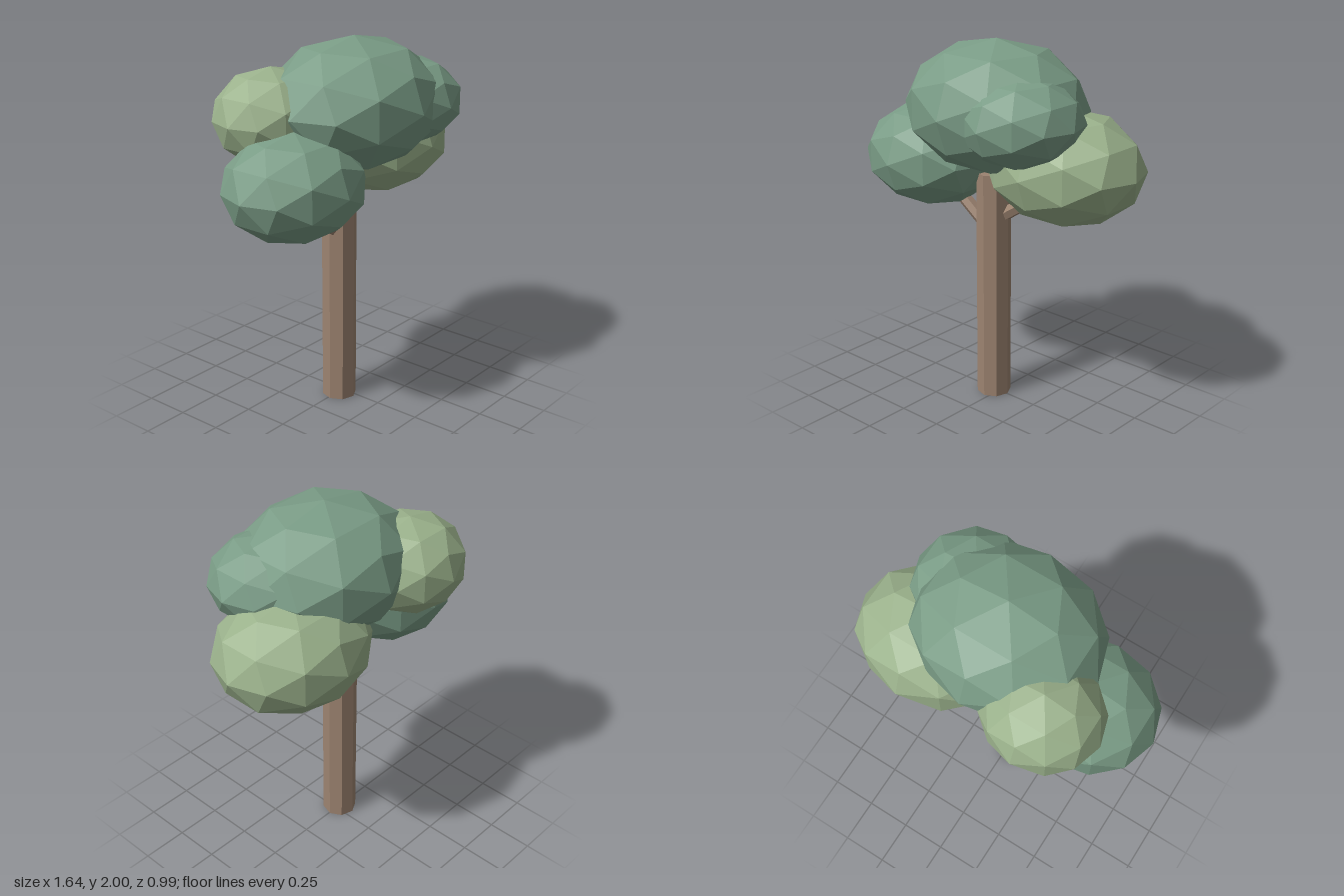
import * as THREE from 'three';

const paint = (color) => new THREE.MeshStandardMaterial({ color, flatShading: true });

export function createModel() {
  const tree = new THREE.Group();
  tree.name = 'tree';
  const bark = paint(0x9c8370);
  const darkLeaf = paint(0x7a9c86);
  const lightLeaf = paint(0x9bb28c);

  // Straight octagonal trunk
  const trunk = new THREE.Mesh(new THREE.CylinderGeometry(0.093, 0.093, 1.28, 8), bark);
  trunk.name = 'trunk';
  trunk.position.set(-0.033, 0.64, 0.005);
  trunk.rotation.y = 0.1;
  tree.add(trunk);

  // Branch running between two points
  function addBranch(name, from, to, radius) {
    const a = new THREE.Vector3(...from);
    const b = new THREE.Vector3(...to);
    const dir = b.clone().sub(a);
    const branch = new THREE.Mesh(new THREE.CylinderGeometry(radius, radius, dir.length(), 6), bark);
    branch.name = name;
    branch.position.copy(a).add(b).multiplyScalar(0.5);
    branch.quaternion.setFromUnitVectors(new THREE.Vector3(0, 1, 0), dir.normalize());
    tree.add(branch);
  }
  addBranch('rightBranch', [-0.05, 0.95, 0.01], [-0.38, 1.23, 0.04], 0.036);
  addBranch('leftBranch', [-0.02, 1.02, 0], [0.32, 1.25, -0.06], 0.038);
  addBranch('topBranch', [-0.03, 1.2, 0.01], [0.02, 1.5, 0.04], 0.026);

  // Faceted leaf clusters: name, centre, radii, material
  const clusters = [
    ['crownFoliage', [0.03, 1.655, 0.052], [0.5, 0.345, 0.438], darkLeaf],
    ['rightFoliage', [-0.43, 1.32, 0.045], [0.39, 0.28, 0.35], darkLeaf],
    ['leftFoliage', [0.385, 1.38, -0.068], [0.435, 0.3, 0.368], lightLeaf],
    ['backFoliage', [-0.32, 1.61, -0.2], [0.315, 0.255, 0.295], lightLeaf],
    ['frontFoliage', [0.28, 1.64, 0.165], [0.34, 0.235, 0.315], darkLeaf],
  ];
  for (const [name, centre, radii, material] of clusters) {
    const leaf = new THREE.Mesh(new THREE.IcosahedronGeometry(1, 1), material);
    leaf.name = name;
    leaf.position.set(...centre);
    leaf.scale.set(...radii);
    tree.add(leaf);
  }
  return tree;
}
